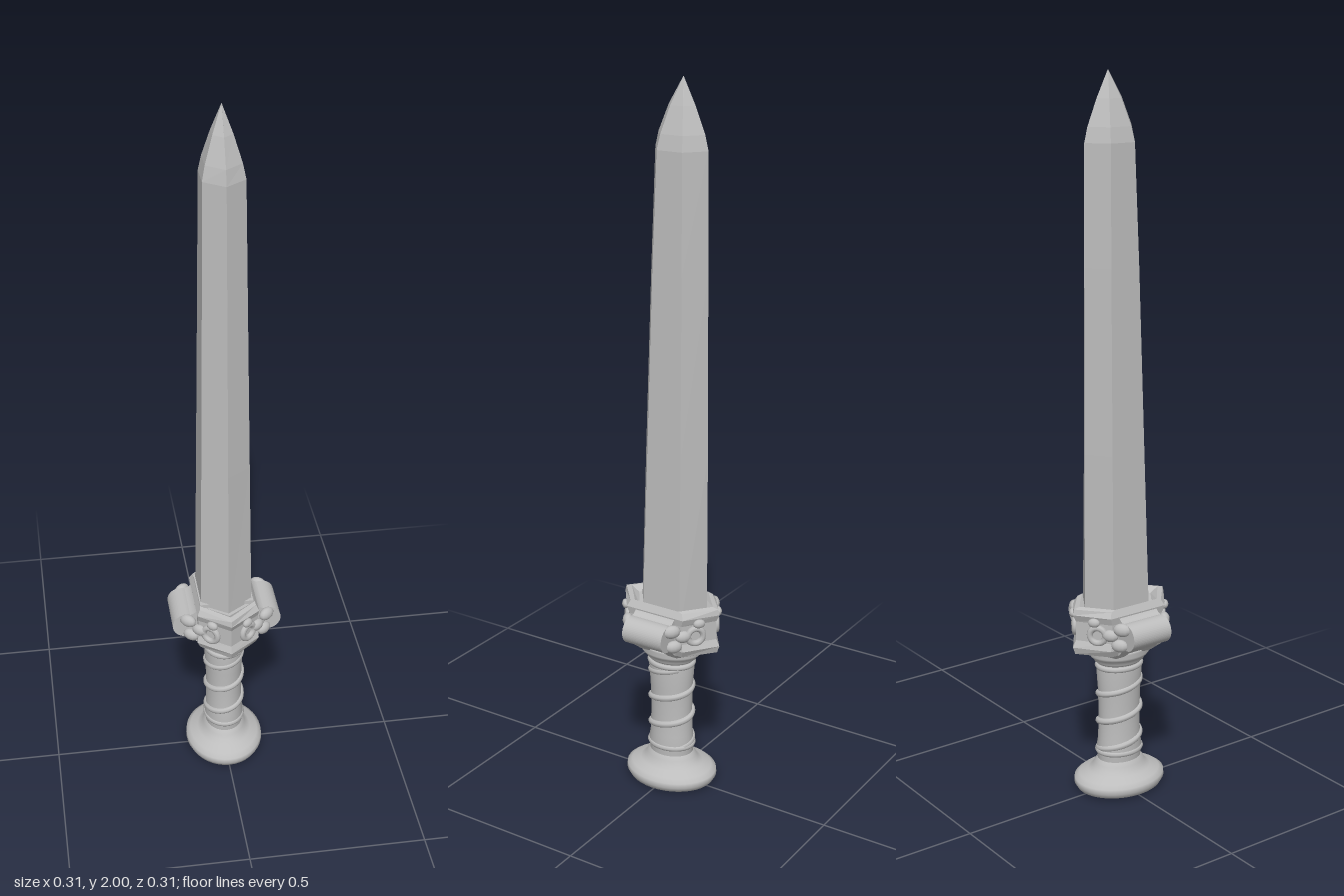
import * as THREE from 'three';

const steel = new THREE.MeshStandardMaterial({ color: 0xbdbdbd });
steel.name = 'grey steel';

// Six-sided ring: front point, front corners, back corners, back point
const hex = (y, w, front, frontCorner, backCorner, back) => [
  [0, y, front], [w, y, frontCorner], [w, y, backCorner],
  [0, y, back], [-w, y, backCorner], [-w, y, frontCorner],
];

// Flat-faceted skin over a stack of rings, closed at both ends
function loft(rings) {
  const pos = [];
  const tri = (a, b, c) => pos.push(...a, ...b, ...c);
  const n = rings[0].length;
  for (let r = 0; r < rings.length - 1; r++) {
    for (let i = 0; i < n; i++) {
      const j = (i + 1) % n, lo = rings[r], hi = rings[r + 1];
      tri(lo[i], lo[j], hi[j]);
      tri(lo[i], hi[j], hi[i]);
    }
  }
  const last = rings[rings.length - 1];
  for (let i = 1; i < n - 1; i++) {
    tri(rings[0][0], rings[0][i + 1], rings[0][i]);
    tri(last[0], last[i], last[i + 1]);
  }
  const g = new THREE.BufferGeometry();
  g.setAttribute('position', new THREE.Float32BufferAttribute(pos, 3));
  g.computeVertexNormals();
  return g;
}

function lathe(points, scaleX, scaleZ) {
  const g = new THREE.LatheGeometry(points.map(([r, y]) => new THREE.Vector2(r, y)), 40);
  return g.scale(scaleX, 1, scaleZ);
}

export function createModel() {
  const model = new THREE.Group();
  const add = (name, geometry, parent = model) => {
    const m = new THREE.Mesh(geometry, steel);
    m.name = name;
    parent.add(m);
    return m;
  };

  // Blade: narrows mostly along its front edge, point set towards the back
  add('blade', loft([
    hex(0.5, 0.073, 0.1, 0.05, -0.072, -0.116),
    hex(1.0, 0.066, 0.083, 0.036, -0.07, -0.115),
    hex(1.5, 0.059, 0.064, 0.022, -0.068, -0.112),
    hex(1.82, 0.055, 0.05, 0.01, -0.066, -0.11),
    hex(1.86, 0.047, 0.04, 0.004, -0.062, -0.1),
    hex(1.93, 0.026, 0.009, -0.012, -0.05, -0.071),
    hex(2.0, 0.0005, -0.034, -0.035, -0.035, -0.036),
  ]));

  // Guard core with raised rim around the blade
  const sym = (y, w, point, corner) => hex(y, w, point, corner, -corner, -point);
  add('guardCore', loft([
    sym(0.42, 0.068, 0.09, 0.06),
    sym(0.435, 0.08, 0.15, 0.085),
    sym(0.455, 0.088, 0.157, 0.092),
    sym(0.475, 0.085, 0.147, 0.086),
    sym(0.53, 0.085, 0.147, 0.086),
    sym(0.55, 0.088, 0.157, 0.092),
    sym(0.566, 0.08, 0.153, 0.085),
    sym(0.57, 0.078, 0.135, 0.072),
    sym(0.555, 0.072, 0.11, 0.06),
  ]));

  // Rolled scroll on each side of the guard
  const s = new THREE.Shape();
  s.moveTo(0, 0.43);
  s.lineTo(0.072, 0.43);
  s.quadraticCurveTo(0.092, 0.437, 0.104, 0.461);
  s.absarc(0.117, 0.499, 0.038, -1.9, 1.9, false);
  s.quadraticCurveTo(0.086, 0.54, 0.076, 0.566);
  s.lineTo(0, 0.566);
  const scroll = new THREE.ExtrudeGeometry(s, { depth: 0.127, bevelEnabled: false, curveSegments: 16 });
  scroll.translate(0, 0, -0.064);
  add('leftGuardScroll', scroll);
  add('rightGuardScroll', scroll.clone().rotateY(Math.PI));

  // Carved curls and leaves on the four slanted guard faces
  for (const sx of [1, -1]) {
    for (const sz of [1, -1]) {
      const carving = new THREE.Group();
      carving.name = 'guardCarving';
      model.add(carving);
      const turn = Math.atan2(sx * 0.067, sz * 0.085);
      const curl = add('curl', new THREE.TorusGeometry(0.022, 0.009, 8, 20), carving);
      curl.position.set(sx * 0.053, 0.497, sz * 0.112);
      curl.rotation.y = turn;
      for (const [x, y, z, size] of [
        [0.112, 0.522, 0.072, 0.022], [0.104, 0.474, 0.074, 0.021],
        [0.082, 0.5, 0.09, 0.02], [0.05, 0.535, 0.122, 0.015],
      ]) {
        const leaf = add('leaf', new THREE.SphereGeometry(size, 12, 8), carving);
        leaf.position.set(sx * x, y, sz * z);
        leaf.rotation.y = turn;
        leaf.scale.set(1.15, 0.85, 0.7);
      }
    }
  }

  // Rounded collar between guard and grip
  add('collar', lathe([
    [0, 0.38], [0.06, 0.382], [0.068, 0.39], [0.066, 0.397], [0.078, 0.403],
    [0.084, 0.412], [0.08, 0.422], [0.085, 0.43], [0, 0.435],
  ], 0.92, 1.1));

  // Grip with a spiral binding
  add('grip', lathe([
    [0.056, 0.05], [0.057, 0.1], [0.06, 0.12], [0.056, 0.15], [0.054, 0.22],
    [0.056, 0.3], [0.06, 0.36], [0.056, 0.39],
  ], 0.95, 1.13));

  const helix = [];
  for (let i = 0; i <= 48; i++) {
    const t = i / 48, a = t * Math.PI * 6 + 2.4;
    helix.push(new THREE.Vector3(0.051 * Math.sin(a), 0.115 + 0.25 * t, 0.061 * Math.cos(a)));
  }
  add('gripBinding', new THREE.TubeGeometry(new THREE.CatmullRomCurve3(helix), 140, 0.0095, 8));
  for (const y of [0.115, 0.372]) {
    const band = add('gripBand', new THREE.TorusGeometry(0.055, 0.009, 8, 36).rotateX(Math.PI / 2));
    band.position.y = y;
    band.scale.set(0.95, 1, 1.13);
  }

  // Flared oval pommel
  add('pommel', lathe([
    [0, 0], [0.085, 0.002], [0.106, 0.008], [0.113, 0.022], [0.112, 0.036],
    [0.1, 0.046], [0.078, 0.056], [0.066, 0.066], [0.062, 0.078], [0.054, 0.09],
  ], 1, 1.2));

  return model;
}
